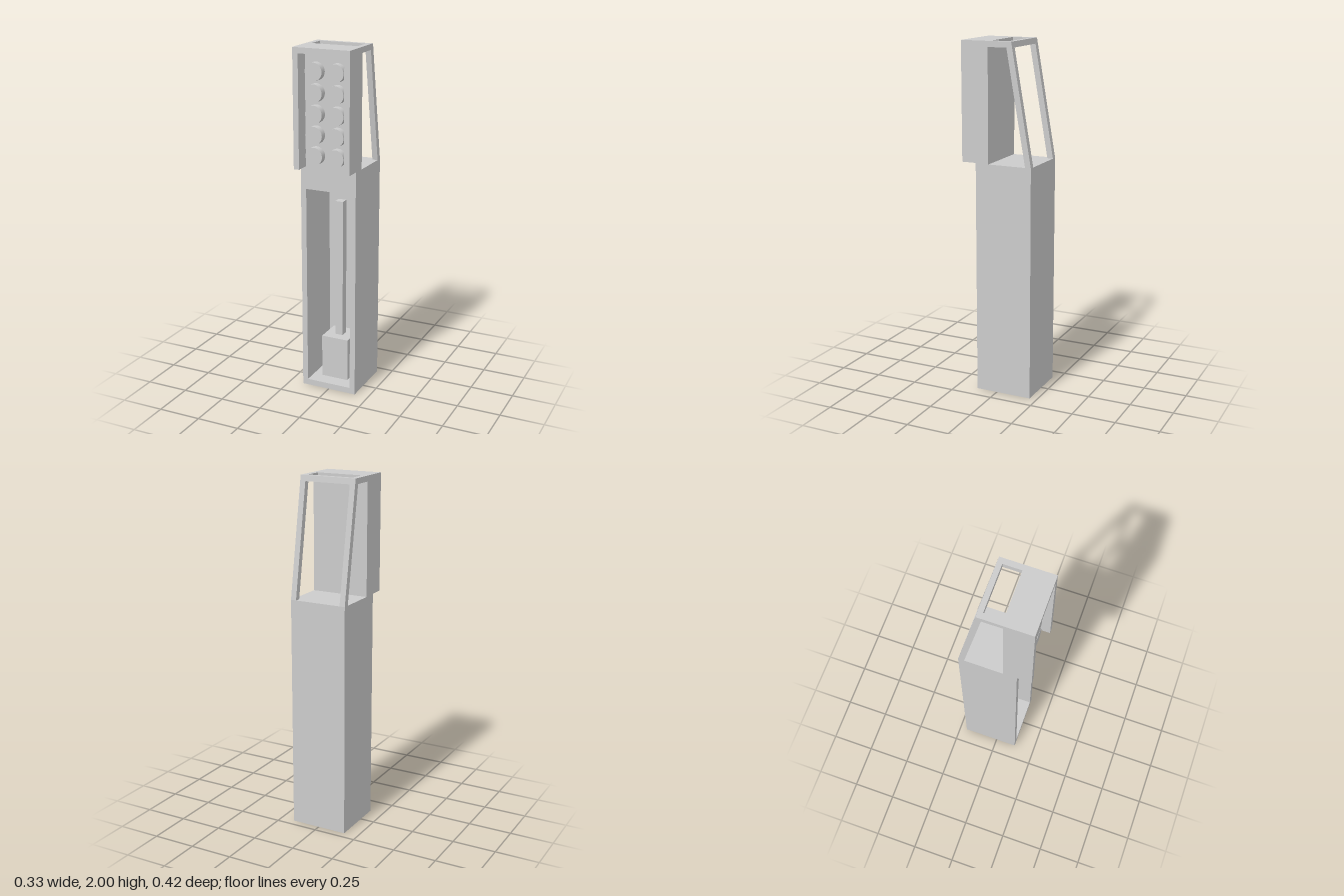
import * as THREE from 'three';

export function createModel() {
  const model = new THREE.Group();
  const mat = new THREE.MeshStandardMaterial({ color: 0xcccccc });
  const thin = new THREE.MeshStandardMaterial({ color: 0xcccccc, side: THREE.DoubleSide });

  const add = (name, geo, material = mat) => {
    const mesh = new THREE.Mesh(geo, material);
    mesh.name = name;
    model.add(mesh);
    return mesh;
  };
  // Box given by its limits on each axis
  const box = (name, x0, x1, y0, y1, z0, z1) =>
    add(name, new THREE.BoxGeometry(x1 - x0, y1 - y0, z1 - z0)
      .translate((x0 + x1) / 2, (y0 + y1) / 2, (z0 + z1) / 2));
  // Side profile of [z, y] points, extruded across x from x0 to x1
  const profile = (name, pts, x0, x1) => {
    const shape = new THREE.Shape(pts.map(([z, y]) => new THREE.Vector2(-z, y)));
    const geo = new THREE.ExtrudeGeometry(shape, { depth: x1 - x0, bevelEnabled: false });
    return add(name, geo.rotateY(Math.PI / 2).translate(x0, 0, 0));
  };

  const W = 0.167, IN = 0.135;         // outer and inner half widths
  const BACK = -0.207, FRONT = 0.125;  // body depth limits
  const HOOD = 0.208, TOP = 2, SHOULDER = 1.333, FLOOR = 0.035;
  const midZ = (BACK + FRONT) / 2, depth = FRONT - BACK;

  // Hollow body, open at the front
  box('bodyBack', -W, W, FLOOR, SHOULDER, BACK, BACK + 0.032);
  box('bodyTop', -IN, IN, 1.205, SHOULDER, BACK + 0.032, FRONT);
  for (const [x0, x1] of [[-W, -IN], [IN, W]])
    box('bodySide', x0, x1, FLOOR, SHOULDER, BACK + 0.032, FRONT);

  // Floor and the thin skirt around the open underside
  add('bodyFloor', new THREE.PlaneGeometry(2 * W, depth)
    .rotateX(-Math.PI / 2).translate(0, FLOOR, midZ), thin);
  for (const z of [BACK, FRONT])
    add('skirtEnd', new THREE.PlaneGeometry(2 * W, FLOOR).rotateY(z === BACK ? Math.PI : 0)
      .translate(0, FLOOR / 2, z), thin);
  for (const s of [-1, 1])
    add('skirtSide', new THREE.PlaneGeometry(depth, FLOOR).rotateY(s * Math.PI / 2)
      .translate(s * W, FLOOR / 2, midZ), thin);

  // Block and rod standing in the cavity
  box('block', -0.082, 0.082, FLOOR, 0.29, midZ - 0.082, midZ + 0.082);
  box('rod', -0.024, 0.024, 0.29, 1.11, midZ - 0.024, midZ + 0.024);

  // Side frames of the head: hood cheek, top rail and slanted back leg
  const frame = [
    [HOOD, 1.335], [HOOD, TOP], [-0.09, TOP], [BACK, SHOULDER], [-0.173, SHOULDER],
    [-0.062, 1.968], [0.048, 1.968], [0.048, SHOULDER], [FRONT, SHOULDER], [FRONT, 1.335],
  ];
  profile('headFrame', frame, -W, -IN);
  profile('headFrame', frame, IN, W);

  // Cross pieces of the head, leaving a slot in the top
  box('hoodTop', -IN, IN, 1.968, TOP, 0.04, HOOD);
  profile('backBar', [[-0.062, TOP], [-0.09, TOP], [-0.0956, 1.968], [-0.062, 1.968]], -IN, IN);
  box('buttonPanel', -IN, IN, SHOULDER, 1.968, 0.048, FRONT);

  // Two columns of five round buttons
  const buttonGeo = new THREE.CylinderGeometry(0.05, 0.05, 0.04, 32).rotateX(Math.PI / 2);
  for (let row = 0; row < 5; row++)
    for (const x of [-0.067, 0.061])
      add('button', buttonGeo).position.set(x, 1.406 + row * 0.1155, FRONT + 0.02);

  return model;
}
